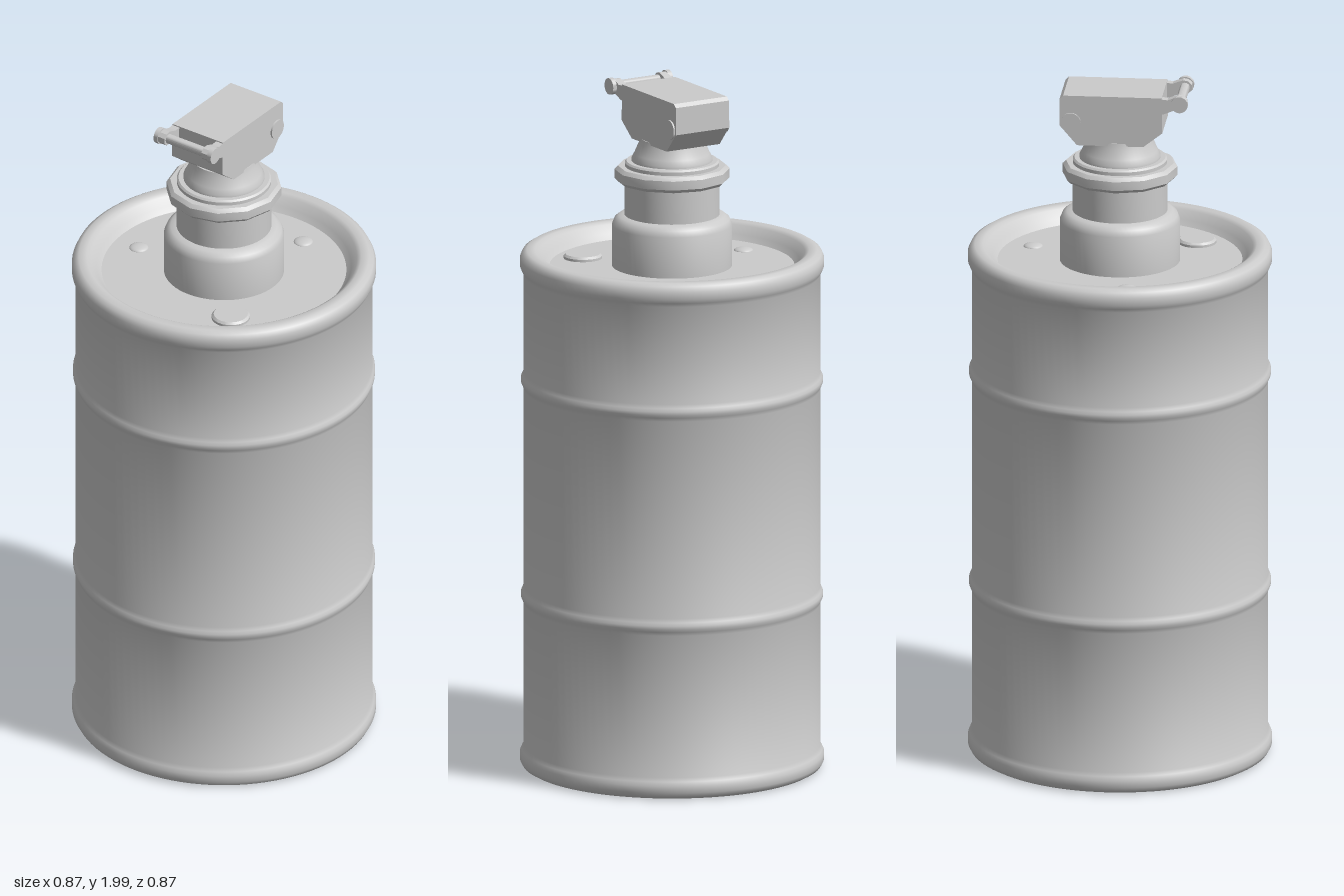
import * as THREE from 'three';
import { toCreasedNormals } from 'three/addons/utils/BufferGeometryUtils.js';

const material = new THREE.MeshStandardMaterial({ color: 0xcccccc });

export function createModel() {
  const model = new THREE.Group();

  const add = (name, geometry, x = 0, y = 0, z = 0) => {
    const mesh = new THREE.Mesh(geometry, material);
    mesh.name = name;
    mesh.position.set(x, y, z);
    model.add(mesh);
    return mesh;
  };
  // Turned part from [radius, height] pairs, listed bottom to top
  const turned = (points, sides = 64) => toCreasedNormals(
    new THREE.LatheGeometry(points.map(([r, y]) => new THREE.Vector2(r, y)), sides), 0.6);
  // Plate from a [z, y] side outline, centred on x = 0
  const plate = (outline, width, bevel = 0) => {
    const shape = new THREE.Shape(outline.map(([z, y]) => new THREE.Vector2(z, y)));
    const geometry = new THREE.ExtrudeGeometry(shape, {
      depth: width - 2 * bevel, bevelEnabled: bevel > 0, bevelSize: bevel,
      bevelOffset: -bevel, bevelThickness: bevel, bevelSegments: 1,
    });
    return geometry.translate(0, 0, bevel - width / 2 - bevel).translate(0, 0, bevel).rotateY(-Math.PI / 2);
  };
  const rod = (radius, length) =>
    toCreasedNormals(new THREE.CylinderGeometry(radius, radius, length, 24).rotateZ(Math.PI / 2), 0.6);

  // Canister with rolled rims, two ribs and recessed ends
  const rib = (y) => [[0.424, y - 0.025], [0.428, y - 0.014], [0.432, y - 0.005],
    [0.432, y + 0.005], [0.428, y + 0.014], [0.424, y + 0.025]];
  add('canister', turned([
    [0, 0.05], [0.348, 0.05], [0.36, 0.035], [0.375, 0.012], [0.39, 0.005], [0.415, 0.005],
    [0.428, 0.012], [0.435, 0.025], [0.435, 0.045], [0.43, 0.057], [0.424, 0.068],
    ...rib(0.51), ...rib(1.14),
    [0.424, 1.452], [0.43, 1.463], [0.435, 1.475], [0.435, 1.497], [0.428, 1.512], [0.415, 1.52],
    [0.392, 1.52], [0.38, 1.513], [0.364, 1.49], [0.35, 1.475], [0, 1.475],
  ], 96));

  // Plug and small dimples on the lid
  add('lidPlug', turned([[0.055, 0], [0.055, 0.008], [0.049, 0.014], [0, 0.014]], 32), 0.173, 1.474, 0.205);
  for (const [x, z] of [[0.093, -0.258], [-0.268, 0.045]]) {
    const dimple = add('lidBump', new THREE.SphereGeometry(0.028, 24, 8, 0, Math.PI * 2, 0, Math.PI / 2), x, 1.474, z);
    dimple.scale.y = 0.35;
  }

  // Stepped neck
  add('neck', turned([
    [0.172, 1.47], [0.172, 1.595], [0.165, 1.612], [0.152, 1.622], [0.136, 1.625], [0.136, 1.74],
  ]));

  // Twelve-sided flange nut
  add('flange', turned([
    [0.13, 1.722], [0.155, 1.722], [0.165, 1.732], [0.165, 1.758], [0.155, 1.768], [0, 1.768],
  ], 12));

  // Washer and flared cone under the head
  add('washer', turned([[0.135, 1.765], [0.135, 1.778], [0.13, 1.783], [0, 1.783]]));
  add('cone', turned([[0.116, 1.78], [0.116, 1.79], [0.108, 1.805], [0.095, 1.835], [0.092, 1.85], [0, 1.85]], 48));

  // Trigger head
  add('head', plate([
    [0.128, 1.99], [-0.155, 1.99], [-0.165, 1.98], [-0.165, 1.9], [-0.115, 1.842],
    [0.075, 1.842], [0.13, 1.885],
  ], 0.178));
  add('pivot', rod(0.029, 0.188), 0, 1.91, -0.133);

  // Ears carrying the cross pin
  for (const side of [-1, 1]) {
    add('ear', plate([
      [0.1, 1.99], [0.1, 1.94], [0.135, 1.943], [0.165, 1.955], [0.19, 1.957],
      [0.2, 1.967], [0.2, 1.983], [0.19, 1.993], [0.175, 1.996], [0.145, 1.985],
    ], 0.024), side * 0.077);
    add('pinCap', rod(0.024, 0.014), side * 0.094, 1.975, 0.18);
  }
  add('crossPin', rod(0.014, 0.19), 0, 1.975, 0.18);

  return model;
}
